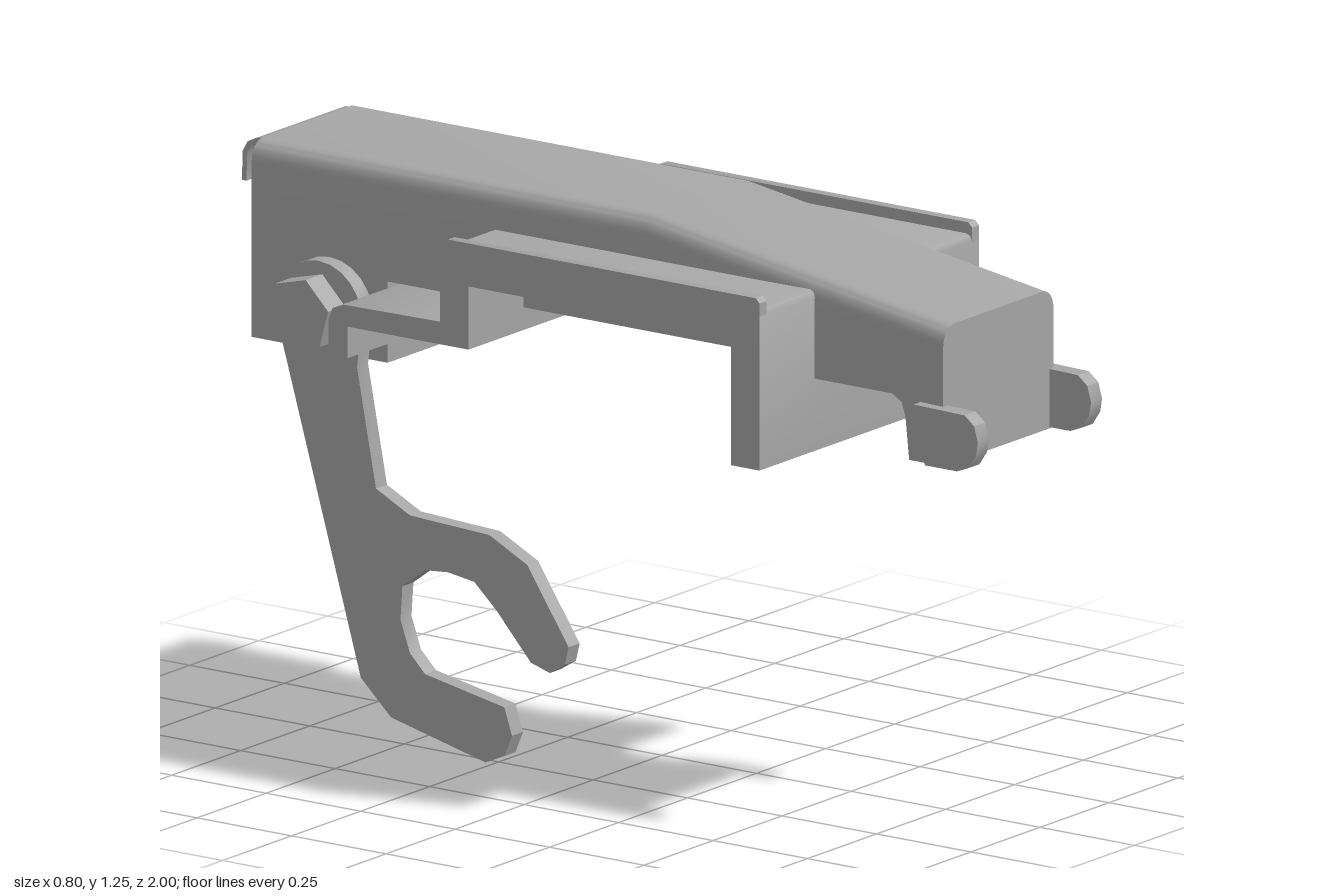
import * as THREE from 'three';
import { toCreasedNormals } from 'three/addons/utils/BufferGeometryUtils.js';

const grey = new THREE.MeshStandardMaterial({ color: 0xa6a6a6 });
grey.name = 'plain grey';

export function createModel() {
  const model = new THREE.Group();
  model.name = 'latchAssembly';

  const add = (name, geometry, x = 0, y = 0, z = 0) => {
    const mesh = new THREE.Mesh(geometry, grey);
    mesh.name = name;
    mesh.position.set(x, y, z);
    model.add(mesh);
    return mesh;
  };
  // box given by its limits
  const box = (name, x0, x1, y0, y1, z0, z1) =>
    add(name, new THREE.BoxGeometry(x1 - x0, y1 - y0, z1 - z0),
      (x0 + x1) / 2, (y0 + y1) / 2, (z0 + z1) / 2);
  // side profile of [z, y] points, extruded from x0 to x1
  const side = (name, points, x0, x1) => {
    const shape = new THREE.Shape(points.map(([z, y]) => new THREE.Vector2(-z, y)));
    const g = new THREE.ExtrudeGeometry(shape, { depth: x1 - x0, bevelEnabled: false });
    g.rotateY(Math.PI / 2).translate(x0, 0, 0);
    return add(name, toCreasedNormals(g, 0.5));
  };
  // disc or hexagon with its axis along x
  const disc = (name, r, x0, x1, y, z, sides = 32, turn = 0) => {
    const g = new THREE.CylinderGeometry(r, r, x1 - x0, sides);
    g.rotateY(turn).rotateZ(Math.PI / 2);
    return add(name, sides < 10 ? toCreasedNormals(g, 0.5) : g, (x0 + x1) / 2, y, z);
  };

  // upper housing: rounded section whose top slopes down to the front
  const section = new THREE.Shape();
  section.moveTo(-0.2, 1.075);
  section.lineTo(0.2, 1.075);
  section.lineTo(0.2, 1.21);
  section.quadraticCurveTo(0.195, 1.25, 0.16, 1.253);
  section.lineTo(-0.16, 1.253);
  section.quadraticCurveTo(-0.195, 1.25, -0.2, 1.21);
  section.closePath();
  const housing = new THREE.ExtrudeGeometry(section,
    { depth: 2, steps: 2, bevelEnabled: false, curveSegments: 8 });
  const pos = housing.attributes.position;
  const stations = [-0.94, 0.1, 0.89];
  for (let i = 0; i < pos.count; i++) {
    const s = Math.round(pos.getZ(i));
    pos.setZ(i, stations[s]);
    if (s === 2 && pos.getY(i) > 1.1) pos.setY(i, pos.getY(i) - 0.12);
  }
  add('housingTop', toCreasedNormals(housing, 0.6));

  // lower housing: front lip, rear block and thin side walls
  side('frontLip', [[0.89, 1.075], [0.89, 0.825], [0.8, 0.825], [0.79, 0.92],
    [0.78, 0.95], [0.755, 0.965], [0.5, 0.965], [0.5, 1.075]], -0.2, 0.2);
  box('rearBlock', -0.2, 0.2, 0.82, 1.075, -0.94, -0.58);
  for (const s of [-1, 1])
    box('housingSideWall', s * 0.18 - 0.02, s * 0.18 + 0.02, 1.0, 1.075, -0.58, 0.5);

  // saddle bracket running across the housing
  side('saddleBracket', [[0.55, 0.805], [0.55, 1.145], [0.545, 1.155], [0.535, 1.16],
    [-0.295, 1.16], [-0.295, 1.0], [-0.55, 0.997], [-0.58, 0.985], [-0.59, 0.96],
    [-0.59, 0.88], [-0.54, 0.88], [-0.54, 0.95], [-0.22, 0.95], [-0.22, 1.09],
    [0.475, 1.09], [0.475, 0.805]], -0.4, 0.395);
  for (const [x0, x1] of [[-0.4, -0.375], [0.37, 0.395]])
    side('bracketRim', [[0.55, 1.14], [0.55, 1.175], [0.54, 1.185], [-0.275, 1.185],
      [-0.29, 1.178], [-0.295, 1.165], [-0.295, 1.14]], x0, x1);

  // front hooks
  for (const x of [-0.205, 0.205])
    side('frontHook', [[0.83, 0.958], [0.86, 0.828], [0.945, 0.828], [0.975, 0.84],
      [0.995, 0.87], [1, 0.9], [0.99, 0.935], [0.965, 0.955]], x - 0.02, x + 0.02);

  // curled lip and bolt at the rear
  side('rearLip', [[-0.92, 1.253], [-0.955, 1.25], [-0.98, 1.238], [-0.993, 1.215],
    [-0.995, 1.15], [-0.983, 1.15], [-0.981, 1.212], [-0.972, 1.228],
    [-0.953, 1.238], [-0.92, 1.24]], -0.16, 0.16);
  const bolt = new THREE.CylinderGeometry(0.083, 0.083, 0.06, 6);
  bolt.rotateY(Math.PI / 2).rotateX(Math.PI / 2);
  add('rearBolt', toCreasedNormals(bolt, 0.5), 0, 0.943, -0.97);

  // forked lever with a round head
  const head = [];
  for (let i = 0; i <= 14; i++) {
    const a = Math.PI * (1.1 - 1.2 * i / 14);
    head.push([-0.712 - 0.115 * Math.cos(a), 0.925 + 0.115 * Math.sin(a)]);
  }
  side('forkLever', [[-0.8, 0.82], [-0.6, 0.135], [-0.52, 0.06], [-0.27, 0],
    [-0.22, 0.022], [-0.2, 0.07], [-0.22, 0.13], [-0.43, 0.17], [-0.47, 0.21],
    [-0.495, 0.28], [-0.49, 0.355], [-0.43, 0.4], [-0.37, 0.405], [-0.3, 0.395],
    [-0.24, 0.34], [-0.15, 0.24], [-0.1, 0.225], [-0.06, 0.25], [-0.05, 0.29],
    [-0.16, 0.455], [-0.26, 0.505], [-0.47, 0.515], [-0.56, 0.56], [-0.61, 0.82],
    ...head], -0.27, -0.23);
  disc('leverPivot', 0.06, -0.24, -0.19, 0.925, -0.712);
  disc('leverBolt', 0.085, -0.33, -0.265, 0.93, -0.725, 6, 0.25);

  // keyhole-shaped plate with two small lugs
  disc('largeDisc', 0.108, 0.19, 0.235, 0.925, -0.712);
  disc('smallDisc', 0.052, 0.19, 0.235, 1.06, -0.78);
  box('rearLug', 0.19, 0.275, 1.055, 1.11, -0.89, -0.842);
  box('frontLug', 0.2, 0.285, 1.055, 1.11, -0.725, -0.655).rotation.y = 0.15;

  return model;
}
